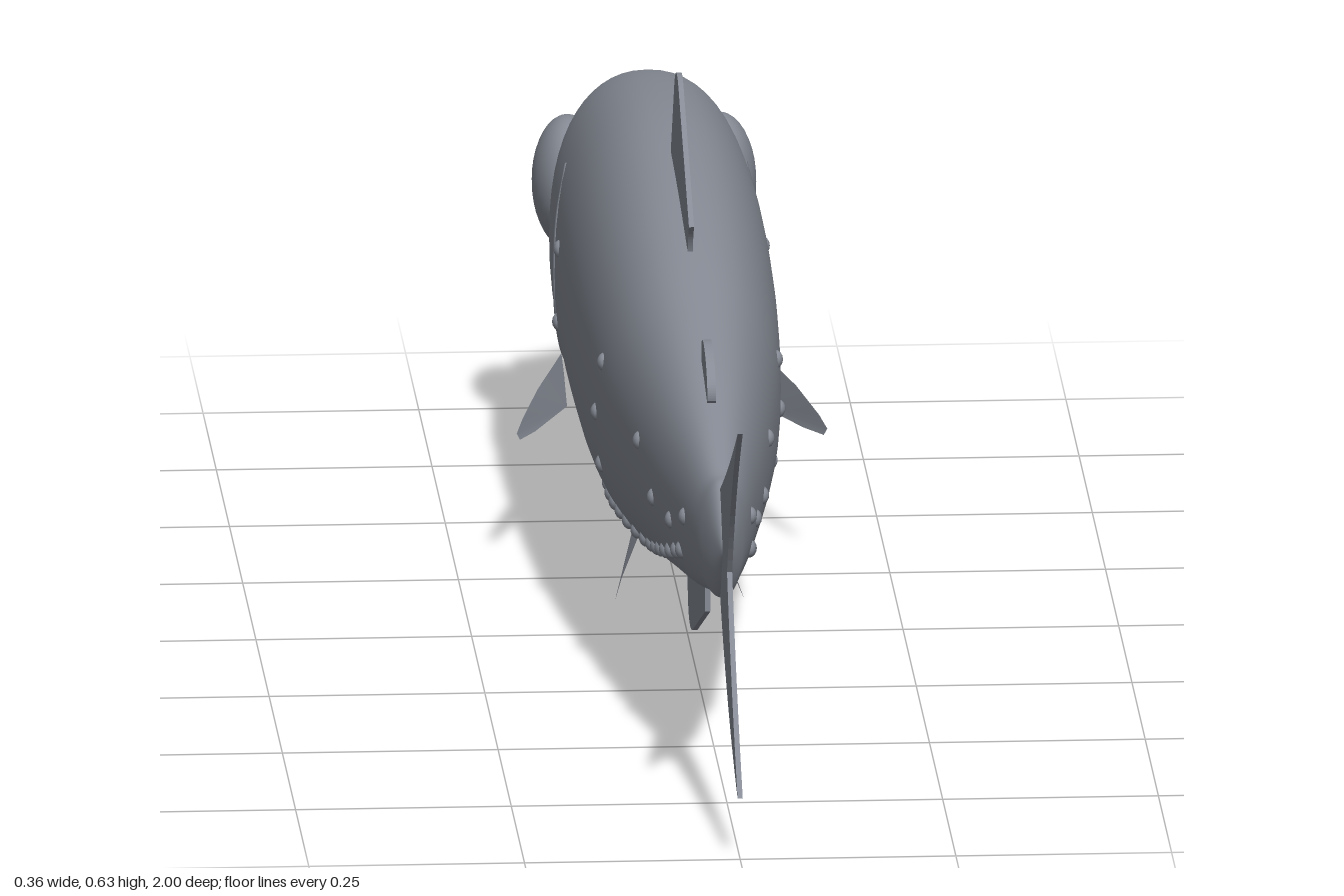
import * as THREE from 'three';

// Body stations, head to tail: [z, top y, bottom y, half width]
const STATIONS = [
  [-1, 0.292, 0.288, 0.002], [-0.988, 0.322, 0.255, 0.032], [-0.957, 0.355, 0.213, 0.06],
  [-0.88, 0.422, 0.148, 0.092], [-0.76, 0.469, 0.094, 0.113], [-0.6, 0.497, 0.07, 0.12],
  [-0.4, 0.51, 0.066, 0.121], [-0.18, 0.5, 0.074, 0.117], [0.035, 0.475, 0.104, 0.106],
  [0.2, 0.448, 0.135, 0.09], [0.36, 0.42, 0.165, 0.07], [0.5, 0.391, 0.19, 0.05],
  [0.62, 0.364, 0.217, 0.032], [0.67, 0.354, 0.227, 0.02], [0.72, 0.292, 0.288, 0.002],
];
const POWER = 2.2; // section fullness

const spline = (col) => new THREE.CatmullRomCurve3(
  STATIONS.map((s) => new THREE.Vector3(s[3], s[col], s[0])), false, 'catmullrom');
const topLine = spline(1);
const bottomLine = spline(2);

function sectionAt(t) {
  const a = topLine.getPoint(t);
  const b = bottomLine.getPoint(t);
  return { z: a.z, w: Math.max(a.x, 0.001), c: (a.y + b.y) / 2, h: (a.y - b.y) / 2 };
}

// Half width of the body at a given height and length
function bodyX(y, z) {
  let lo = 0, hi = 1;
  for (let i = 0; i < 30; i++) {
    const mid = (lo + hi) / 2;
    if (sectionAt(mid).z < z) lo = mid; else hi = mid;
  }
  const s = sectionAt(lo);
  const v = Math.min(1, Math.abs((y - s.c) / s.h));
  return s.w * Math.pow(1 - Math.pow(v, POWER), 1 / POWER);
}

function bodyGeometry(rings = 112, sides = 56) {
  const pos = [], index = [];
  const bend = (v) => Math.sign(v) * Math.pow(Math.abs(v), 2 / POWER);
  for (let i = 0; i <= rings; i++) {
    const s = sectionAt(i / rings);
    for (let j = 0; j < sides; j++) {
      const a = (j / sides) * Math.PI * 2;
      pos.push(s.w * bend(Math.cos(a)), s.c + s.h * bend(Math.sin(a)), s.z);
      if (i === rings) continue;
      const p = i * sides + j, q = i * sides + ((j + 1) % sides);
      index.push(p, q, p + sides, q, q + sides, p + sides);
    }
  }
  const g = new THREE.BufferGeometry();
  g.setAttribute('position', new THREE.Float32BufferAttribute(pos, 3));
  g.setIndex(index);
  g.computeVertexNormals();
  return g;
}

// Upright fin on the centre line, drawn in (z, y)
function medianFin(shape, depth = 0.006) {
  const g = new THREE.ExtrudeGeometry(shape, { depth, bevelEnabled: false, curveSegments: 14 });
  g.translate(0, 0, -depth / 2);
  g.rotateY(-Math.PI / 2);
  return g;
}

// Thin paired fin as a fan of corners
function fanFin(points) {
  const g = new THREE.BufferGeometry();
  g.setAttribute('position', new THREE.Float32BufferAttribute(points.flat(), 3));
  const index = [];
  for (let i = 1; i < points.length - 1; i++) index.push(0, i, i + 1);
  g.setIndex(index);
  g.computeVertexNormals();
  return g;
}

export function createModel() {
  const model = new THREE.Group();
  model.name = 'fish';
  const skin = new THREE.MeshStandardMaterial({ color: 0x868b95, side: THREE.DoubleSide });
  skin.name = 'slate grey';
  const add = (parent, name, geometry) => {
    const m = new THREE.Mesh(geometry, skin);
    m.name = name;
    parent.add(m);
    return m;
  };

  add(model, 'body', bodyGeometry());

  // Forked tail
  const tail = new THREE.Shape();
  tail.moveTo(0.65, 0.35);
  tail.lineTo(0.67, 0.355);
  tail.quadraticCurveTo(0.83, 0.42, 1, 0.51);
  tail.quadraticCurveTo(0.87, 0.41, 0.8, 0.29);
  tail.quadraticCurveTo(0.87, 0.18, 1, 0.073);
  tail.quadraticCurveTo(0.8, 0.125, 0.67, 0.226);
  tail.lineTo(0.65, 0.235);
  add(model, 'tailFin', medianFin(tail));

  // Dorsal fin
  const dorsal = new THREE.Shape();
  dorsal.moveTo(-0.25, 0.47);
  dorsal.lineTo(-0.265, 0.505);
  dorsal.lineTo(-0.195, 0.608);
  dorsal.quadraticCurveTo(-0.155, 0.648, -0.105, 0.613);
  dorsal.lineTo(0.08, 0.508);
  dorsal.quadraticCurveTo(0.055, 0.49, 0.05, 0.45);
  add(model, 'dorsalFin', medianFin(dorsal));

  // Small rounded fin behind the dorsal
  const adipose = new THREE.Shape();
  adipose.moveTo(0.34, 0.4);
  adipose.lineTo(0.352, 0.445);
  adipose.quadraticCurveTo(0.38, 0.462, 0.43, 0.442);
  adipose.quadraticCurveTo(0.465, 0.425, 0.46, 0.403);
  adipose.lineTo(0.44, 0.38);
  add(model, 'adiposeFin', medianFin(adipose, 0.01));

  // Anal fin
  const anal = new THREE.Shape();
  anal.moveTo(0.03, 0.13);
  anal.lineTo(0.04, 0.1);
  anal.lineTo(0.063, 0.054);
  anal.quadraticCurveTo(0.085, 0.025, 0.145, 0.043);
  anal.lineTo(0.385, 0.13);
  anal.lineTo(0.385, 0.19);
  add(model, 'analFin', medianFin(anal));

  // Mouth line wrapped around the snout
  const mouthSide = [[0.18, -0.705], [0.198, -0.76], [0.226, -0.82], [0.249, -0.88], [0.27, -0.94], [0.285, -0.98]]
    .map(([y, z]) => new THREE.Vector3(bodyX(y, z), y, z));
  const mouthPath = new THREE.CatmullRomCurve3([
    ...mouthSide, new THREE.Vector3(0, 0.293, -0.997),
    ...mouthSide.map((p) => new THREE.Vector3(-p.x, p.y, p.z)).reverse(),
  ]);
  add(model, 'mouth', new THREE.TubeGeometry(mouthPath, 80, 0.005, 8));

  // Light organs: single spots, then the belly row, as [z, y]
  const spots = [[0.57, 0.295], [0.49, 0.27], [0.39, 0.27], [0.305, 0.315], [0.05, 0.34],
    [0.01, 0.27], [-0.02, 0.2], [-0.487, 0.33], [-0.535, 0.23]];
  const rowLine = new THREE.SplineCurve([[0.53, 0.245], [0.36, 0.2], [0.18, 0.163], [-0.03, 0.143],
    [-0.3, 0.11], [-0.59, 0.112]].map(([z, y]) => new THREE.Vector2(z, y)));
  for (let i = 0; i < 18; i++) spots.push(rowLine.getPoint(i / 17).toArray());
  const spotGeometry = new THREE.SphereGeometry(0.011, 12, 8);

  for (const side of [1, -1]) {
    const half = new THREE.Group();
    half.name = side > 0 ? 'leftSide' : 'rightSide';
    half.scale.x = side;
    model.add(half);

    const eye = add(half, 'eye', new THREE.SphereGeometry(1, 32, 20));
    eye.scale.set(0.042, 0.078, 0.078);
    eye.position.set(0.088, 0.32, -0.82);

    const nostril = add(half, 'nostril', spotGeometry);
    nostril.position.set(bodyX(0.345, -0.92) - 0.003, 0.345, -0.92);

    // Edge of the gill cover, almost sunk into the flank
    const gill = [[0.4, -0.6], [0.34, -0.555], [0.26, -0.54], [0.19, -0.57], [0.13, -0.64]]
      .map(([y, z]) => new THREE.Vector3(bodyX(y, z) - 0.004, y, z));
    add(half, 'gillEdge', new THREE.TubeGeometry(new THREE.CatmullRomCurve3(gill), 32, 0.006, 8));

    add(half, 'pectoralFin', fanFin([[0.11, 0.143, -0.48], [0.112, 0.175, -0.505], [0.115, 0.2, -0.505],
      [0.15, 0.188, -0.39], [0.172, 0.173, -0.315], [0.18, 0.163, -0.29], [0.176, 0.155, -0.292],
      [0.155, 0.149, -0.35]]));
    add(half, 'pelvicFin', fanFin([[0.034, 0.09, -0.3], [0.056, 0.036, -0.21], [0.075, 0, -0.145],
      [0.066, 0.022, -0.165], [0.036, 0.088, -0.19]]));

    for (const [z, y] of spots) {
      const spot = add(half, 'lightOrgan', spotGeometry);
      spot.position.set(bodyX(y, z) - 0.003, y, z);
      spot.scale.x = 0.8;
    }
  }
  return model;
}
